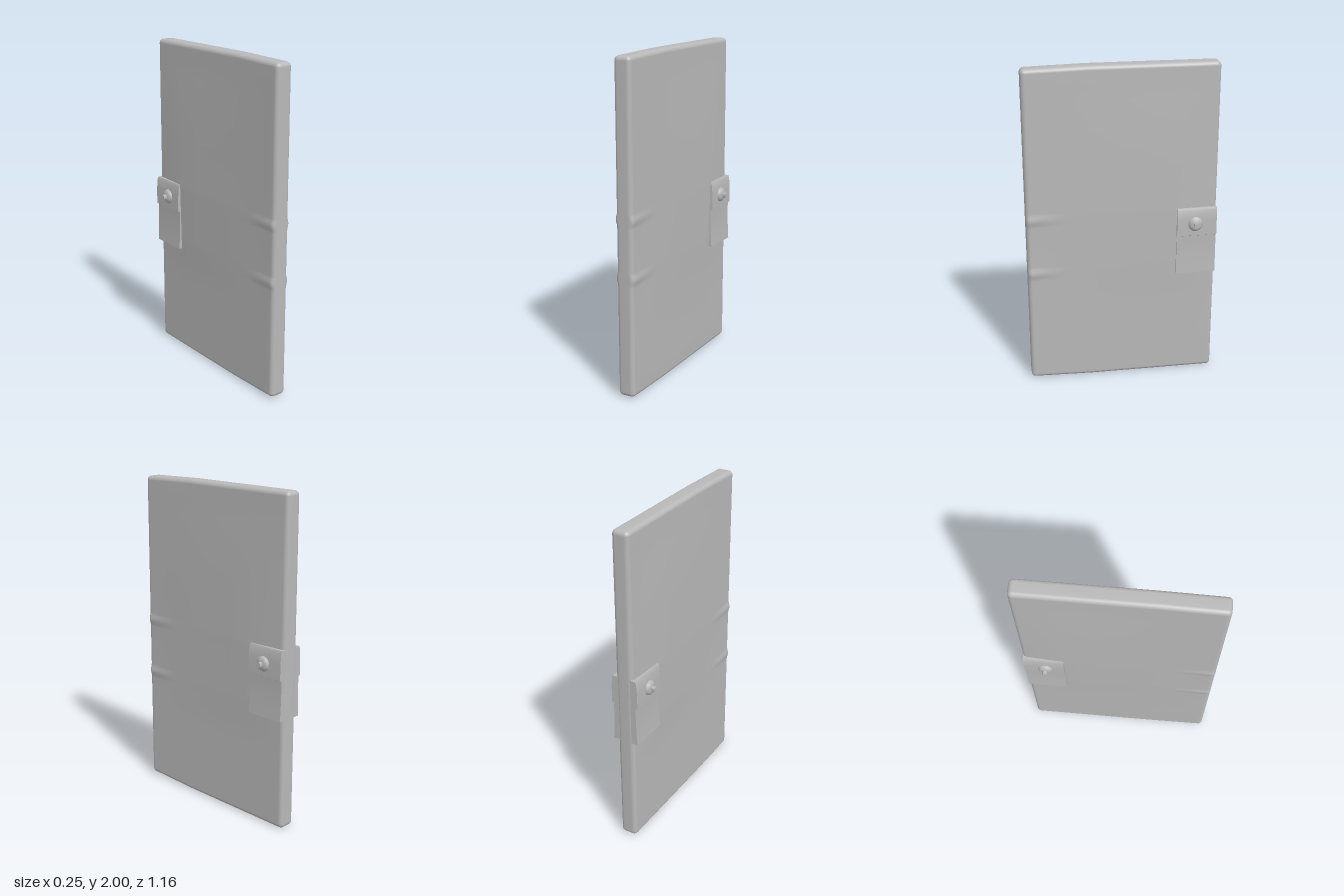
import * as THREE from 'three';
import { mergeVertices, toCreasedNormals } from 'three/addons/utils/BufferGeometryUtils.js';

const HX = 0.053, HY = 1, HZ = 0.579, R = 0.026;

// Grid lines along one axis: fine steps in the rounded edges, chosen ones between.
function gridLines(half, inner) {
  const core = half - R;
  const edge = [0, 15, 30, 45].map(a => core + R * Math.tan(THREE.MathUtils.degToRad(a)));
  return [...edge.map(v => -v), ...inner, ...edge].sort((a, b) => a - b);
}

// Piecewise-linear ramp through [position, value] pairs.
function ramp(v, points) {
  if (v <= points[0][0]) return points[0][1];
  for (let i = 1; i < points.length; i++) {
    const [a, av] = points[i - 1], [b, bv] = points[i];
    if (v <= b) return av + (bv - av) * (v - a) / (b - a);
  }
  return points[points.length - 1][1];
}

// Rounded slab, slightly thicker around the latch, with two flared ridges at the front edge.
function slabGeometry() {
  const ridges = [1.08, 0.73];
  const ridgeRows = ridges.flatMap(c => [-0.045, -0.03, -0.015, 0, 0.015, 0.03, 0.045].map(d => c + d - 1));
  const lines = [
    gridLines(HX, [0]),
    gridLines(HY, [-0.75, -0.5, -0.4, -0.1, 0.25, 0.4, 0.6, 0.8, 0.88, ...ridgeRows]),
    gridLines(HZ, [-0.45, -0.33, -0.15, 0.05, 0.2, 0.34, 0.4, 0.46, 0.51])
  ];
  const n = lines.map(l => l.length - 1);
  let geo = new THREE.BoxGeometry(1, 1, 1, ...n);
  const pos = geo.attributes.position;
  const p = new THREE.Vector3(), core = new THREE.Vector3();
  const limit = new THREE.Vector3(HX - R, HY - R, HZ - R);
  const low = limit.clone().negate();
  for (let i = 0; i < pos.count; i++) {
    p.fromBufferAttribute(pos, i);
    p.set(...[p.x, p.y, p.z].map((v, k) => lines[k][Math.round((v + 0.5) * n[k])]));
    core.copy(p).clamp(low, limit);
    p.sub(core).setLength(R).add(core);
    const y = p.y + 1;
    let half = HX;
    half += 0.016 * ramp(y, [[0.5, 0], [0.75, 0.6], [1.1, 1], [1.6, 0.65], [1.88, 0]])
      * ramp(p.z, [[-0.58, 0], [-0.33, 1], [0.05, 0.6], [0.45, 0]]);
    for (const c of ridges) {
      const d = Math.abs(y - c) / 0.045;
      if (d < 1) half += 0.01 * ramp(p.z, [[0.34, 0], [0.58, 1]]) * Math.cos(d * Math.PI / 2) ** 2;
    }
    // top and bottom draw in a little towards the front
    const drawIn = 1 - 0.01 * ramp(p.z, [[0.2, 0], [0.58, 1]]);
    pos.setXYZ(i, p.x * half / HX, 1 + p.y * drawIn, p.z);
  }
  geo.deleteAttribute('normal');
  geo.deleteAttribute('uv');
  geo = mergeVertices(geo, 1e-5);
  geo.computeVertexNormals();
  return geo;
}

// Latch strap wrapping the back edge, as one symmetric section.
function strapGeometry() {
  const side = [[0.081, 0.69], [0.077, 0.75], [0.074, 0.82], [0.073, 0.88], [0.074, 0.934],
    [0.086, 0.94], [0.085, 1.04], [0.08, 1.1], [0.074, 1.115]];
  const outline = [...side, ...side.map(([x, y]) => [-x, y]).reverse()];
  const shape = new THREE.Shape(outline.map(([x, y]) => new THREE.Vector2(x, y)));
  const geo = new THREE.ExtrudeGeometry(shape, { depth: 0.244, bevelEnabled: false });
  geo.translate(0, 0, -0.576);
  return toCreasedNormals(geo, 0.5);
}

// Domed rivet with a short pin, turned about its axis.
function rivetGeometry() {
  const profile = [[0.046, 0], [0.046, 0.008], [0.04, 0.019], [0.029, 0.026], [0.016, 0.029],
    [0.016, 0.05], [0, 0.05]];
  const geo = new THREE.LatheGeometry(profile.map(([r, h]) => new THREE.Vector2(r, h)), 20);
  return toCreasedNormals(geo, 0.7);
}

export function createModel() {
  const model = new THREE.Group();
  model.name = 'doorPanel';
  const grey = new THREE.MeshStandardMaterial({ color: 0xb8b8b8 });
  grey.name = 'grey';

  function add(name, geometry) {
    const mesh = new THREE.Mesh(geometry, grey);
    mesh.name = name;
    model.add(mesh);
    return mesh;
  }

  add('slab', slabGeometry());
  add('latchStrap', strapGeometry());
  const rivet = rivetGeometry();
  for (const [name, s] of [['leftRivet', 1], ['rightRivet', -1]]) {
    const mesh = add(name, rivet);
    mesh.position.set(s * 0.077, 1.015, -0.445);
    mesh.rotation.z = -s * Math.PI / 2;
  }
  return model;
}
